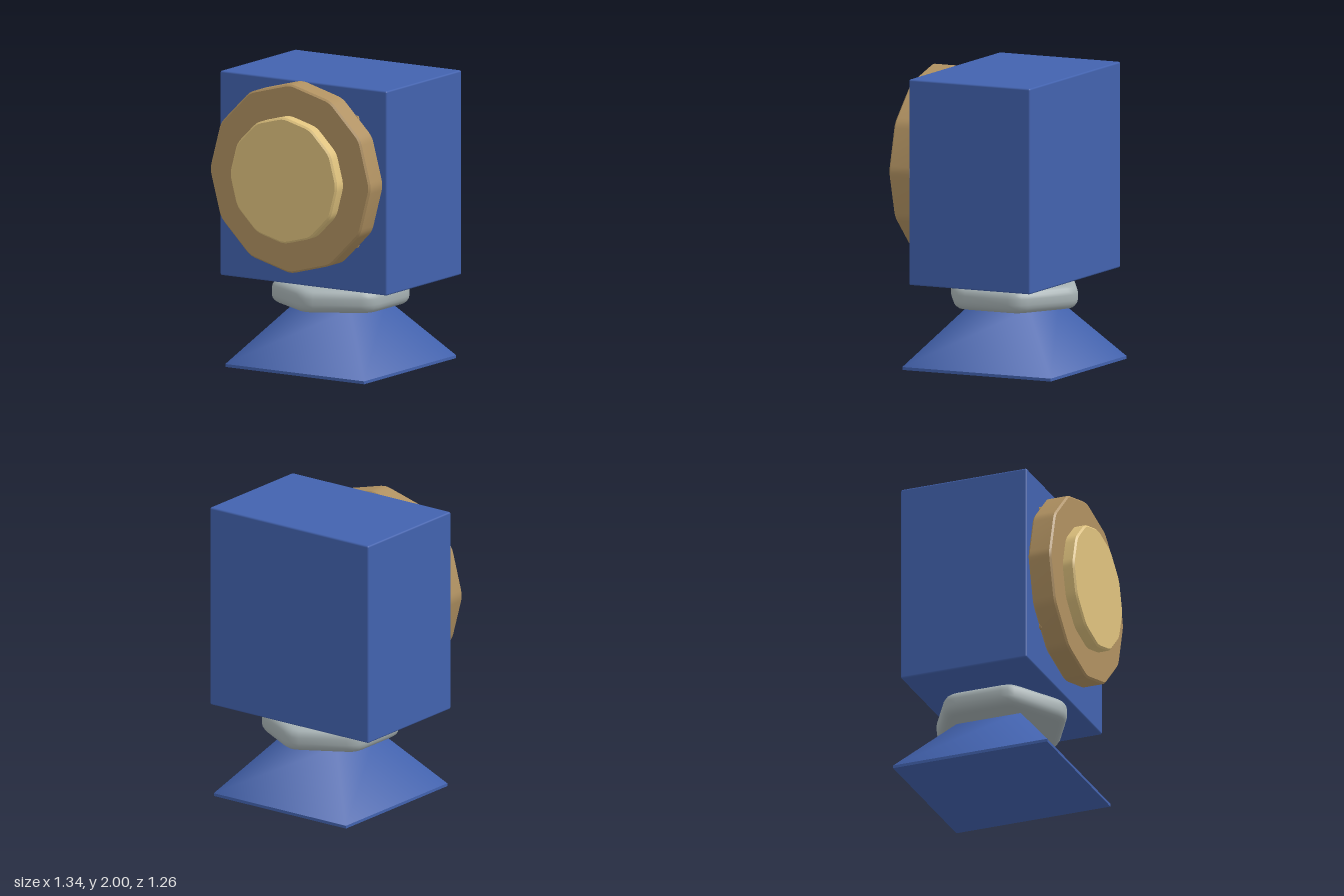
import * as THREE from 'three';
import { toCreasedNormals } from 'three/addons/utils/BufferGeometryUtils.js';
import { RoundedBoxGeometry } from 'three/addons/geometries/RoundedBoxGeometry.js';

const material = (name, color) => {
  const m = new THREE.MeshStandardMaterial({ color });
  m.name = name;
  return m;
};

// Polygon plate with softened corners and bevelled rims, from z = 0 to z = depth.
function polygonPlate(sides, radius, depth, bevel, cut, bevelSegments) {
  const corners = [];
  for (let i = 0; i < sides; i++) {
    const a = Math.PI / 2 + (i / sides) * Math.PI * 2;
    corners.push(new THREE.Vector2(Math.cos(a) * radius, Math.sin(a) * radius));
  }
  const towards = (p, q) => q.clone().sub(p).setLength(cut).add(p);
  const shape = new THREE.Shape();
  corners.forEach((p, i) => {
    const a = towards(p, corners[(i + sides - 1) % sides]);
    const b = towards(p, corners[(i + 1) % sides]);
    if (i === 0) shape.moveTo(a.x, a.y);
    else shape.lineTo(a.x, a.y);
    shape.quadraticCurveTo(p.x, p.y, b.x, b.y);
  });
  shape.closePath();
  const geometry = new THREE.ExtrudeGeometry(shape, {
    depth: depth - 2 * bevel, curveSegments: 3,
    bevelThickness: bevel, bevelSize: bevel, bevelOffset: -bevel, bevelSegments,
  });
  geometry.translate(0, 0, bevel);
  return toCreasedNormals(geometry, 0.6);
}

export function createModel() {
  const blue = material('blue', 0x4262ae);
  const brown = material('brown', 0xb09161);
  const gold = material('gold', 0xdfc27e);
  const grey = material('grey', 0xa6b1b3);

  const model = new THREE.Group();
  const add = (name, geometry, mat, x, y, z) => {
    const mesh = new THREE.Mesh(geometry, mat);
    mesh.name = name;
    mesh.position.set(x, y, z);
    model.add(mesh);
    return mesh;
  };
  const axisZ = -0.07;

  // Pyramid foot on a thin square rim
  const foot = new THREE.CylinderGeometry(0.225 * Math.SQRT2, 0.56 * Math.SQRT2, 0.4, 4);
  foot.rotateY(Math.PI / 4);
  add('foot', foot, blue, 0, 0.22, axisZ);
  add('footRim', new THREE.BoxGeometry(1.12, 0.02, 1.12), blue, 0, 0.01, axisZ);

  // Rounded hexagonal collar and the pin above it
  const collar = polygonPlate(6, 0.485, 0.16, 0.06, 0.08, 4);
  collar.rotateX(-Math.PI / 2);
  add('collar', collar, grey, 0, 0.41, axisZ);
  add('pin', new THREE.CylinderGeometry(0.14, 0.14, 0.05, 12), gold, 0, 0.58, axisZ);

  // Main housing
  add('housing', new RoundedBoxGeometry(1.344, 1.4, 0.915, 2, 0.012), blue, 0, 1.3, -0.0725);

  // Twelve-sided front disc and its raised centre
  add('frontDisc', polygonPlate(12, 0.65, 0.165, 0.012, 0.04, 1), brown, 0, 1.357, 0.385);
  add('centreDisc', polygonPlate(12, 0.435, 0.1, 0.012, 0.04, 1), gold, 0, 1.357, 0.532);

  // Small studs tucked behind the disc
  const stud = new THREE.CylinderGeometry(0.025, 0.025, 0.02, 8);
  stud.rotateX(Math.PI / 2);
  for (const sx of [-1, 1]) {
    for (const sy of [-1, 1]) add('stud', stud, brown, sx * 0.43, 1.357 + sy * 0.43, 0.39);
  }

  return model;
}
